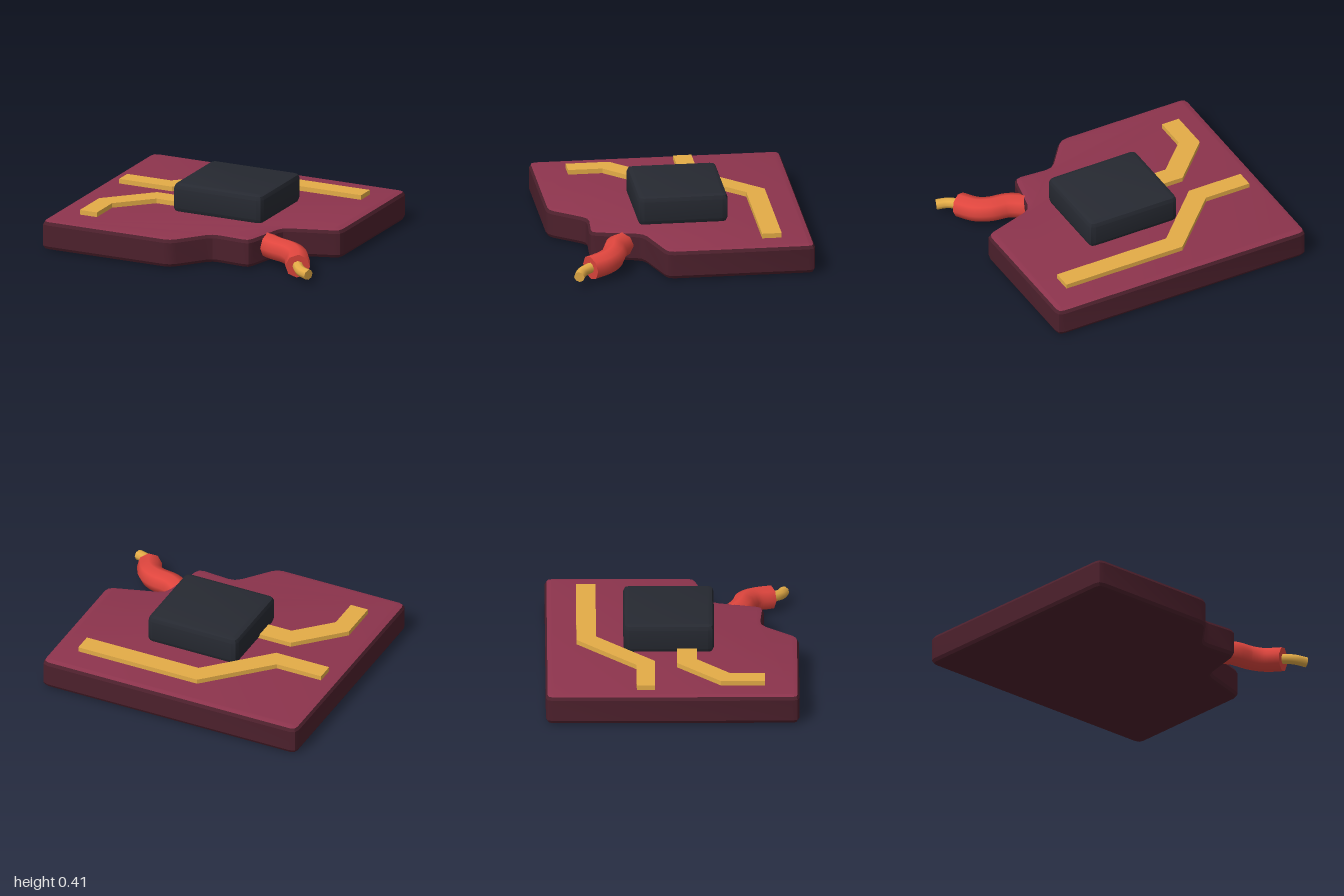
import * as THREE from 'three';
import { toCreasedNormals } from 'three/addons/utils/BufferGeometryUtils.js';

const mat = (name, color) => {
  const m = new THREE.MeshStandardMaterial({ color });
  m.name = name;
  return m;
};

// Closed outline from [x, z] points, corners rounded by r
function outline(points, r = 0) {
  const p = points.map(([x, z]) => new THREE.Vector2(x, z));
  if (!r) return new THREE.Shape(p);
  const shape = new THREE.Shape();
  const n = p.length;
  const toward = (a, b) => a.clone().add(b.clone().sub(a).setLength(r));
  p.forEach((c, i) => {
    const a = toward(c, p[(i + n - 1) % n]);
    const b = toward(c, p[(i + 1) % n]);
    if (i) shape.lineTo(a.x, a.y);
    else shape.moveTo(a.x, a.y);
    shape.quadraticCurveTo(c.x, c.y, b.x, b.y);
  });
  shape.closePath();
  return shape;
}

// Flat plate between two heights with an optional rounded rim
function plate(shape, y0, y1, bevel = 0, drop = bevel) {
  const g = new THREE.ExtrudeGeometry(shape, {
    depth: y1 - y0 - 2 * drop,
    bevelEnabled: bevel > 0,
    bevelSize: bevel,
    bevelThickness: drop,
    bevelOffset: -bevel,
    bevelSegments: 2,
    curveSegments: 2,
  });
  g.rotateX(Math.PI / 2).translate(0, y1 - drop, 0);
  return bevel ? toCreasedNormals(g, 0.5) : g;
}

// Two material groups: faces that look up, then all the others
function splitTop(geometry) {
  const normal = geometry.attributes.normal;
  const top = [];
  const rest = [];
  for (let i = 0; i < normal.count; i += 3) {
    const up = (normal.getY(i) + normal.getY(i + 1) + normal.getY(i + 2)) / 3;
    (up > 0.75 ? top : rest).push(i, i + 1, i + 2);
  }
  geometry.setIndex([...top, ...rest]);
  geometry.clearGroups();
  geometry.addGroup(0, top.length, 0);
  geometry.addGroup(top.length, rest.length, 1);
  return geometry;
}

// Bent round wire with a flat cap on each end
function wire(name, points, radius, sides, material) {
  const group = new THREE.Group();
  group.name = name;
  const curve = new THREE.CatmullRomCurve3(points.map((p) => new THREE.Vector3(...p)));
  const steps = 16;
  const tube = new THREE.TubeGeometry(curve, steps, radius, sides);
  group.add(new THREE.Mesh(tube, material));
  for (const i of [0, steps]) {
    const cap = new THREE.CircleGeometry(radius, sides);
    if (i === 0) cap.rotateY(Math.PI);
    cap.applyMatrix4(new THREE.Matrix4()
      .makeBasis(tube.normals[i], tube.binormals[i], tube.tangents[i])
      .setPosition(curve.getPointAt(i / steps)));
    group.add(new THREE.Mesh(cap, material));
  }
  group.children.forEach((m, i) => { m.name = name + (i ? 'Cap' + i : 'Tube'); });
  return group;
}

export function createModel() {
  const model = new THREE.Group();
  model.name = 'brokenCircuitBoard';
  const maroon = mat('maroon board top', 0x8d344d);
  const darkMaroon = mat('dark maroon board sides', 0x4c202c);
  const charcoal = mat('charcoal chip', 0x262931);
  const gold = mat('gold metal', 0xe4ac47);
  const red = mat('red insulation', 0xe0463e);

  const add = (name, geometry, material) => {
    const mesh = new THREE.Mesh(geometry, material);
    mesh.name = name;
    model.add(mesh);
  };

  // Board with a broken front corner, darker on its sides and underside
  add('board', splitTop(plate(outline([
    [-1, -0.864], [0.929, -0.864], [0.929, 0.155], [0.545, 0.275],
    [0.465, 0.63], [0.18, 0.61], [-0.02, 0.862], [-1, 0.862],
  ], 0.05), 0, 0.21, 0.042, 0.03)), [maroon, darkMaroon]);

  // Chip
  add('chip', plate(outline([
    [-0.29, -0.333], [0.389, -0.333], [0.389, 0.284], [-0.29, 0.284],
  ], 0.04), 0.203, 0.409, 0.035), charcoal);

  // Conductor traces
  add('backTrace', plate(outline([
    [-0.89, -0.245], [-0.555, -0.245], [-0.15, -0.652], [0.75, -0.652],
    [0.75, -0.518], [-0.095, -0.518], [-0.49, -0.12], [-0.89, -0.12],
  ]), 0.2, 0.243), gold);
  add('frontTrace', plate(outline([
    [-0.82, 0.627], [-0.82, 0.33], [-0.525, 0.032], [-0.2, 0.032],
    [-0.2, 0.167], [-0.465, 0.167], [-0.69, 0.392], [-0.69, 0.627],
  ]), 0.2, 0.243), gold);

  // Torn wire: insulation with the bare core poking out
  model.add(wire('wireInsulation', [
    [0.49, 0.12, 0.408], [0.59, 0.122, 0.468], [0.71, 0.115, 0.498],
    [0.79, 0.105, 0.553], [0.857, 0.09, 0.673],
  ], 0.085, 8, red));
  model.add(wire('wireCore', [
    [0.83, 0.097, 0.62], [0.868, 0.09, 0.688], [0.915, 0.081, 0.738], [0.985, 0.073, 0.768],
  ], 0.037, 8, gold));

  return model;
}
